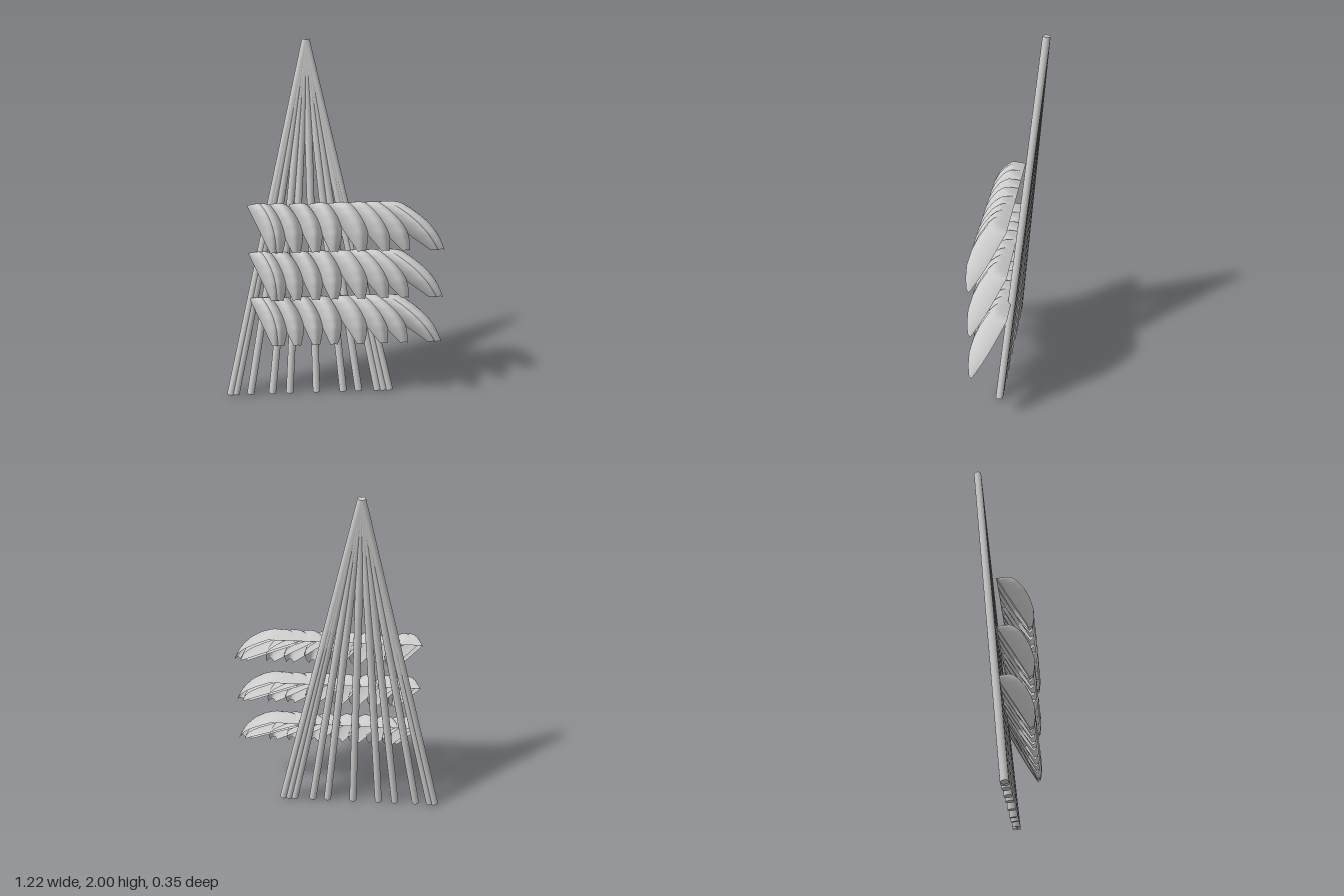
import * as THREE from 'three';

const grey = new THREE.MeshStandardMaterial({ color: 0xcccccc, side: THREE.DoubleSide });
grey.name = 'pale grey';

// Straight round rod between two points
function rod(a, b, radius) {
  const dir = b.clone().sub(a);
  const mesh = new THREE.Mesh(new THREE.CylinderGeometry(radius, radius, dir.length(), 16), grey);
  mesh.position.copy(a).add(b).multiplyScalar(0.5);
  mesh.quaternion.setFromUnitVectors(new THREE.Vector3(0, 1, 0), dir.normalize());
  return mesh;
}

// Height of a petal's dome along its length: [position, height]
const dome = [[0, 0], [0.02, 0.045], [0.06, 0.078], [0.18, 0.098], [0.34, 0.106], [0.52, 0.102], [0.72, 0.084], [0.88, 0.054], [1, 0.022]];
function domeHeight(s) {
  let i = 1;
  while (i < dome.length - 1 && s > dome[i][0]) i++;
  const [s0, h0] = dome[i - 1], [s1, h1] = dome[i];
  return THREE.MathUtils.lerp(h0, h1, (s - s0) / (s1 - s0));
}

// Hollow drooping petal: a leaning base outline with an arched surface over it
function petalGeometry(left, right, tip) {
  const g = new THREE.PlaneGeometry(1, 1, 14, 24);
  const p = g.attributes.position;
  for (let i = 0; i < p.count; i++) {
    const v = p.getX(i) + 0.5;
    const s = Math.pow(0.5 - p.getY(i), 1.4);
    const bulge = 0.045 * Math.sin(Math.PI * s);
    const xl = THREE.MathUtils.lerp(left, tip, s);
    const xr = THREE.MathUtils.lerp(right, tip + 0.04, s) + bulge;
    const across = 0.5 - 0.5 * Math.cos(Math.PI * v);
    const h = domeHeight(s) * Math.pow(Math.max(0, Math.sin(Math.PI * across)), 0.6);
    p.setXYZ(i, THREE.MathUtils.lerp(xl, xr, across), 1.12 - 0.23 * s + 0.56 * h, -0.01 + 0.16 * s + 0.83 * h);
  }
  g.computeVertexNormals();
  return g;
}

export function createModel() {
  const model = new THREE.Group();

  // Fan of rods meeting at the top
  const fan = new THREE.Group();
  fan.name = 'rodFan';
  const apex = new THREE.Vector3(-0.133, 1.998, -0.15);
  for (const x of [-0.59, -0.56, -0.475, -0.35, -0.25, -0.095, 0.06, 0.15, 0.26, 0.295, 0.33]) {
    const r = rod(new THREE.Vector3(x, 0.005, 0.042), apex, 0.021);
    r.name = 'rod';
    fan.add(r);
  }
  model.add(fan);

  // Petals of one row: left edge, right edge, tip
  const petals = [
    [-0.47, -0.37, -0.345], [-0.44, -0.34, -0.32], [-0.36, -0.25, -0.225], [-0.24, -0.14, -0.12],
    [-0.14, -0.02, -0.02], [-0.04, 0.11, 0.13], [0.05, 0.2, 0.26], [0.12, 0.28, 0.375],
    [0.17, 0.35, 0.53], [0.2, 0.38, 0.565],
  ].map((d) => petalGeometry(...d));

  // Three overlapping rows of petals
  for (const y of [0, -0.275, -0.545]) {
    const row = new THREE.Group();
    row.name = 'petalRow';
    for (const g of petals) {
      const m = new THREE.Mesh(g, grey);
      m.name = 'petal';
      row.add(m);
    }
    row.position.y = y;
    model.add(row);
  }
  return model;
}
